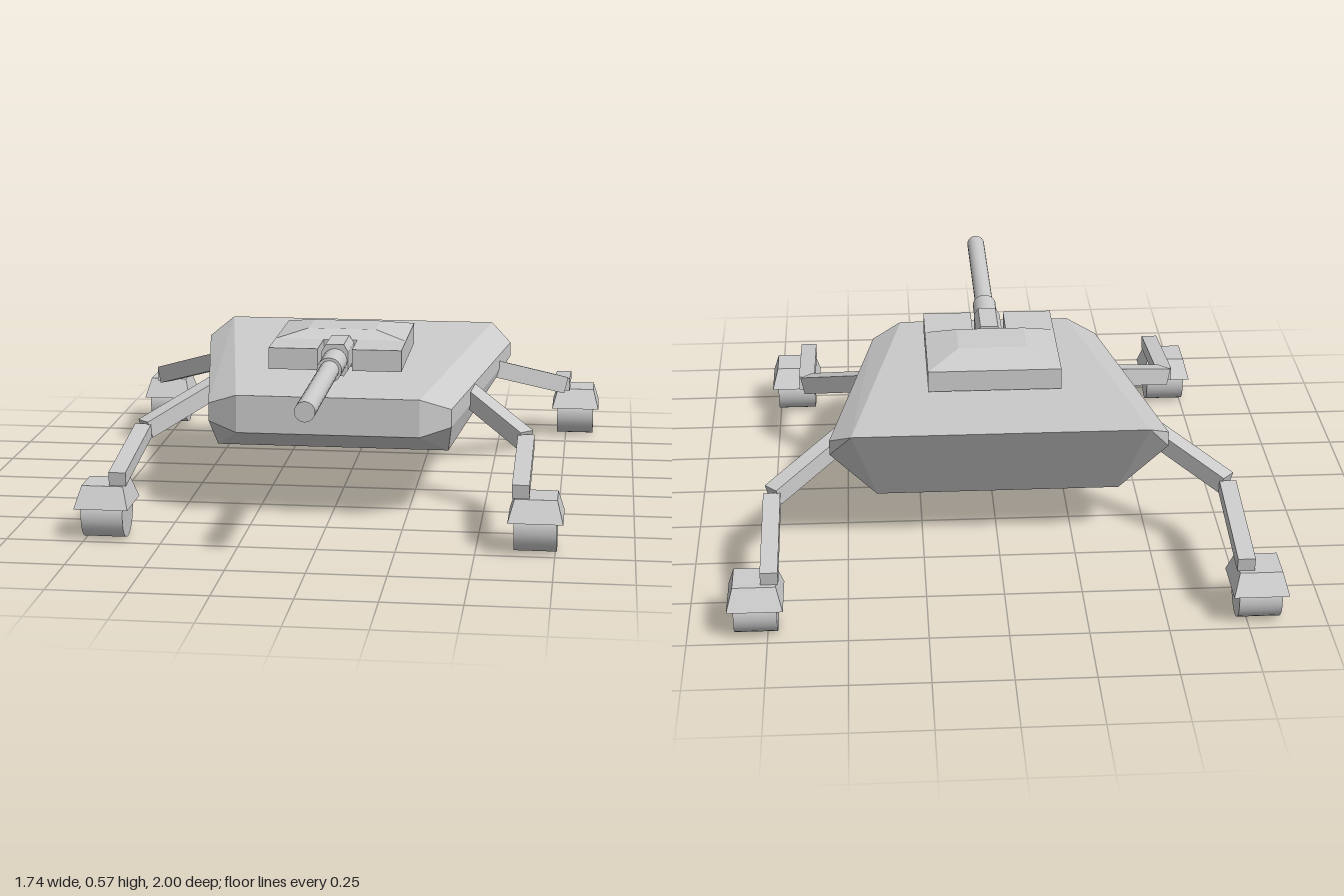
import * as THREE from 'three';
import { ConvexGeometry } from 'three/addons/geometries/ConvexGeometry.js';

const material = new THREE.MeshStandardMaterial({ color: 0xcccccc });

function add(parent, name, geometry, x = 0, y = 0, z = 0) {
  const mesh = new THREE.Mesh(geometry, material);
  mesh.name = name;
  mesh.position.set(x, y, z);
  parent.add(mesh);
  return mesh;
}

// Flat-faced solid from corners given for one side and mirrored across x
function mirroredHull(corners) {
  const points = [];
  for (const [x, y, z] of corners) {
    points.push(new THREE.Vector3(x, y, z), new THREE.Vector3(-x, y, z));
  }
  return new ConvexGeometry(points);
}

// Tapered block: each end is [y, half width, back z, front z]
function frustum(...ends) {
  return mirroredHull(ends.flatMap(([y, w, z0, z1]) => [[w, y, z0], [w, y, z1]]));
}

// Square beam running from a to b
function beam(parent, name, a, b, width, height) {
  const start = new THREE.Vector3(...a);
  const end = new THREE.Vector3(...b);
  const mesh = add(parent, name, new THREE.BoxGeometry(width, height, start.distanceTo(end)));
  mesh.position.copy(start).add(end).multiplyScalar(0.5);
  mesh.lookAt(end);
  return mesh;
}

function barrel(radius, z0, z1) {
  return new THREE.CylinderGeometry(radius, radius, z1 - z0, 24)
    .rotateX(Math.PI / 2)
    .translate(0, 0, (z0 + z1) / 2);
}

function makeTurret() {
  const turret = new THREE.Group();
  turret.name = 'turret';

  // Slab with a slot at the front for the gun
  const outline = [
    [-0.222, 0.222], [-0.222, -0.26], [-0.057, -0.26], [-0.057, -0.1],
    [0.057, -0.1], [0.057, -0.26], [0.222, -0.26], [0.222, 0.222],
  ].map(([x, y]) => new THREE.Vector2(x, y));
  const slab = new THREE.ExtrudeGeometry(new THREE.Shape(outline), { depth: 0.072, bevelEnabled: false });
  add(turret, 'turretSlab', slab.rotateX(-Math.PI / 2), 0, 0.472, 0);

  // Sloped roof and the narrowing ring below
  add(turret, 'turretRoof', frustum([0.544, 0.22, -0.22, 0.1], [0.573, 0.115, -0.1, 0.055]));
  add(turret, 'turretBase', frustum([0.472, 0.22, -0.22, 0.1], [0.43, 0.13, -0.13, 0.06]));

  // Gun with bevelled mantlet
  const mantlet = new THREE.Shape();
  [[-0.045, -0.03], [-0.03, -0.052], [0.03, -0.052], [0.045, -0.03],
    [0.045, 0.03], [0.03, 0.055], [-0.03, 0.055], [-0.045, 0.03]]
    .forEach(([x, y], i) => (i ? mantlet.lineTo(x, y) : mantlet.moveTo(x, y)));
  add(turret, 'gunMantlet', new THREE.ExtrudeGeometry(mantlet, { depth: 0.16, bevelEnabled: false }), 0, 0.505, 0.1);
  add(turret, 'gunSleeve', barrel(0.041, 0.24, 0.41), 0, 0.505, 0);
  add(turret, 'gunBarrel', barrel(0.032, 0.4, 1), 0, 0.505, 0);
  return turret;
}

// One leg: upper and lower beam, wheel housing and wheel
function makeLeg(name, side, { hip, knee, shin, ankle, foot }) {
  const leg = new THREE.Group();
  leg.name = name;
  const at = ([x, y, z]) => [x * side, y, z];
  beam(leg, 'upperLeg', at(hip), at(knee), 0.055, 0.06);
  beam(leg, 'lowerLeg', at(shin), at(ankle), 0.055, 0.046);
  const [x, z] = foot;
  add(leg, 'wheelHousing', frustum([0.11, 0.087, -0.093, 0.093], [0.18, 0.067, -0.06, 0.06]), x * side, 0, z);
  const wheel = new THREE.CylinderGeometry(0.08, 0.08, 0.135, 32).rotateZ(Math.PI / 2);
  add(leg, 'wheel', wheel, x * side, 0.08, z);
  return leg;
}

export function createModel() {
  const model = new THREE.Group();
  model.name = 'leggedTank';

  // Faceted hull: roof, widest edges, nose and belly
  add(model, 'hull', mirroredHull([
    [0.3, 0.425, 0.46], [0.478, 0.485, -0.57],
    [0.4, 0.385, 0.41], [0.55, 0.43, -0.48],
    [0.4, 0.325, 0.41], [0.55, 0.38, -0.48],
    [0.3, 0.3, 0.46],
    [0.385, 0.225, 0.32], [0.4, 0.19, -0.4],
  ]));

  model.add(makeTurret());

  const front = {
    hip: [0.4, 0.385, 0.055], knee: [0.635, 0.265, 0.3],
    shin: [0.64, 0.262, 0.31], ankle: [0.64, 0.202, 0.725], foot: [0.688, 0.672],
  };
  const rear = {
    hip: [0.46, 0.385, -0.28], knee: [0.735, 0.268, -0.535],
    shin: [0.738, 0.262, -0.55], ankle: [0.738, 0.202, -0.955], foot: [0.785, -0.907],
  };
  for (const [label, side] of [['Left', 1], ['Right', -1]]) {
    model.add(makeLeg('front' + label + 'Leg', side, front));
    model.add(makeLeg('rear' + label + 'Leg', side, rear));
  }
  return model;
}
